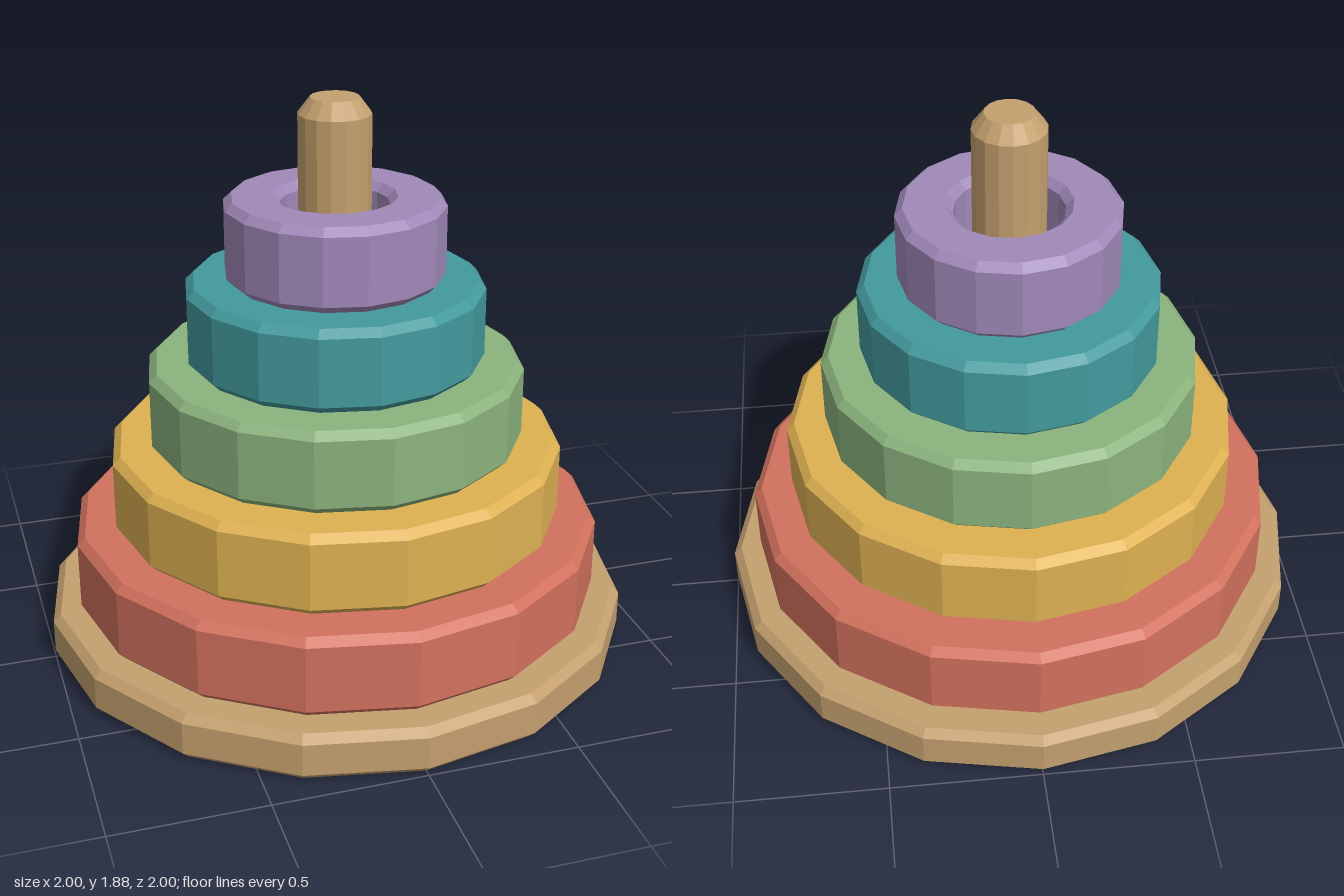
import * as THREE from 'three';

const SIDES = 16;
const BEVEL = 0.026;

// Faceted solid of revolution from a list of [radius, height] points
function turned(name, profile, color) {
  const points = profile.map(([r, y]) => new THREE.Vector2(r, y));
  const material = new THREE.MeshStandardMaterial({ color, flatShading: true });
  const mesh = new THREE.Mesh(new THREE.LatheGeometry(points, SIDES), material);
  mesh.name = name;
  return mesh;
}

// Ring with bevelled edges, outside and around the hole
function ring(name, outer, inner, height, color) {
  const b = BEVEL;
  return turned(name, [
    [inner + b, 0], [outer - b, 0], [outer, b], [outer, height - b],
    [outer - b, height], [inner + b, height], [inner, height - b],
    [inner, b], [inner + b, 0],
  ], color);
}

export function createModel() {
  const group = new THREE.Group();
  group.name = 'stackingRings';
  const wood = 0xc4a06e;
  const baseTop = 0.162;
  const ringHeight = 0.28;

  // Wooden base disc
  group.add(turned('base', [
    [0, 0], [1 - BEVEL, 0], [1, BEVEL], [1, baseTop - BEVEL],
    [1 - BEVEL, baseTop], [0, baseTop],
  ], wood));

  // Central peg with a chamfered tip
  group.add(turned('peg', [
    [0, baseTop - 0.03], [0.12, baseTop - 0.03], [0.12, 1.832],
    [0.08, 1.885], [0, 1.885],
  ], wood));

  // Five rings, shrinking towards the top
  const colors = {
    redRing: 0xd2715d,
    yellowRing: 0xdeb152,
    greenRing: 0x8bb37d,
    tealRing: 0x439a9d,
    purpleRing: 0xa088b8,
  };
  Object.entries(colors).forEach(([name, color], i) => {
    const mesh = ring(name, 0.902 - i * 0.134, 0.18, ringHeight, color);
    mesh.position.y = baseTop + i * ringHeight;
    group.add(mesh);
  });

  return group;
}
